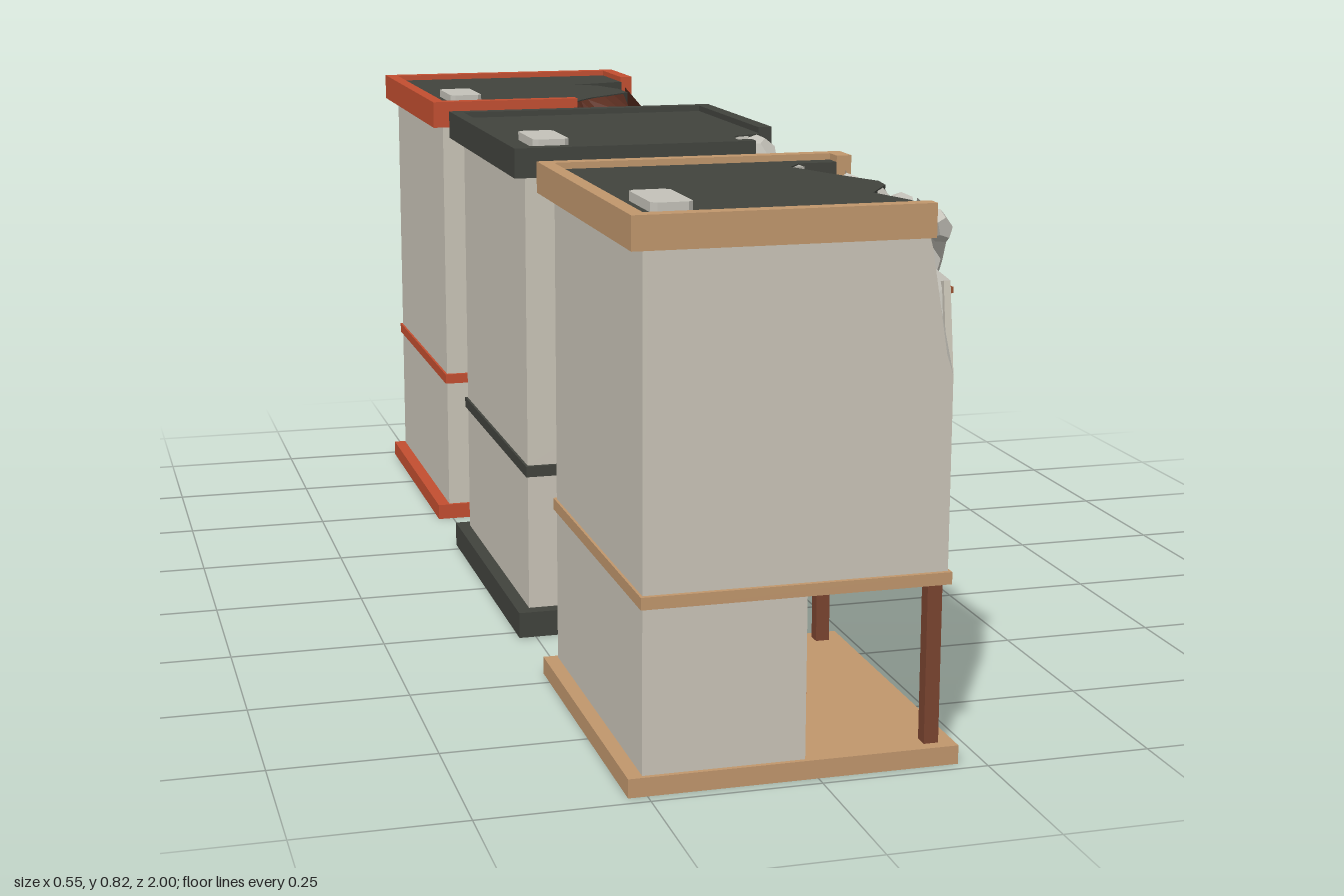
import * as THREE from 'three';

const mat = (name, color, side = THREE.FrontSide) => {
  const m = new THREE.MeshStandardMaterial({ color, side });
  m.name = name;
  return m;
};

export function createModel() {
  const M = {
    wall: mat('plaster', 0xc9c4b7), tan: mat('tanTrim', 0xc0966c), red: mat('redTrim', 0xc24e30),
    dark: mat('darkRoofing', 0x41433d), stone: mat('brokenStone', 0xc3c1b8, THREE.DoubleSide),
    frame: mat('windowWood', 0x9c5230), brown: mat('darkWood', 0x7a4430),
    gash: mat('exposedBrick', 0x5e3022, THREE.DoubleSide), glass: mat('glass', 0xa9c9cc),
  };
  let seed = 7;
  const rand = () => (seed = (seed * 16807) % 2147483647) / 2147483647;

  const add = (parent, name, geo, m) => {
    const mesh = new THREE.Mesh(geo, m);
    mesh.name = name;
    parent.add(mesh);
    return mesh;
  };
  // box given by its limits on each axis
  const box = (p, name, m, x0, x1, y0, y1, z0, z1) => {
    const g = new THREE.BoxGeometry(x1 - x0, y1 - y0, z1 - z0);
    return add(p, name, g.translate((x0 + x1) / 2, (y0 + y1) / 2, (z0 + z1) / 2), m);
  };
  const shape = pts => new THREE.Shape(pts.map(p => new THREE.Vector2(p[0], p[1])));
  const extrude = (s, depth) => new THREE.ExtrudeGeometry(s, { depth, bevelEnabled: false, curveSegments: 8 });
  // slab from an x,z outline
  const slab = (p, name, m, pts, y0, y1) =>
    add(p, name, extrude(shape(pts.map(([x, z]) => [x, -z])), y1 - y0).rotateX(-Math.PI / 2).translate(0, y0, 0), m);
  const faceted = (p, name, m, verts) => {
    const g = new THREE.BufferGeometry();
    g.setAttribute('position', new THREE.Float32BufferAttribute(verts.flat(), 3));
    g.computeVertexNormals();
    return add(p, name, g, m);
  };

  // frame shape, optionally hollow, facing +x
  const panel = (w, h, hole, depth) => {
    const s = shape([[-w / 2, 0], [w / 2, 0], [w / 2, h], [-w / 2, h]]);
    if (hole) {
      const a = w / 2 - hole;
      s.holes.push(new THREE.Path([[-a, hole], [-a, h - hole * 1.4], [-a * 0.7, h - hole], [a * 0.7, h - hole],
        [a, h - hole * 1.4], [a, hole]].map(q => new THREE.Vector2(...q))));
    }
    return extrude(s, depth).rotateY(Math.PI / 2);
  };
  const makeWindow = (parent, x, y, z) => {
    const g = new THREE.Group();
    g.name = 'window';
    g.position.set(x, y, z);
    box(g, 'glassPane', M.glass, 0, 0.004, 0.012, 0.112, -0.033, 0.033);
    add(g, 'windowFrame', panel(0.076, 0.112, 0.013, 0.013).translate(0, 0.006, 0), M.frame);
    box(g, 'mullion', M.frame, 0, 0.007, 0.012, 0.112, -0.002, 0.002);
    box(g, 'crossbar', M.frame, 0, 0.007, 0.062, 0.066, -0.03, 0.03);
    box(g, 'sill', M.frame, 0, 0.021, 0, 0.01, -0.046, 0.046);
    box(g, 'lintel', M.frame, 0, 0.021, 0.114, 0.123, -0.046, 0.046);
    parent.add(g);
  };
  const makeDoor = (parent, x, y) => {
    const g = new THREE.Group();
    g.name = 'door';
    g.position.set(x, y, 0);
    box(g, 'doorLeaf', M.brown, 0, 0.006, 0, 0.175, -0.036, 0.036);
    add(g, 'doorFrame', panel(0.092, 0.183, 0.012, 0.013), M.frame);
    add(g, 'upperDoorPanel', panel(0.05, 0.075, 0.006, 0.01).translate(0, 0.085, 0), M.frame);
    add(g, 'roundDoorPanel', new THREE.TorusGeometry(0.023, 0.004, 6, 16).rotateY(Math.PI / 2).translate(0.007, 0.045, 0), M.frame);
    parent.add(g);
  };

  // point at fraction t of a point list
  const along = (pts, t) => {
    const f = t * (pts.length - 1), i = Math.min(Math.floor(f), pts.length - 2);
    return pts[i].map((v, k) => v + (pts[i + 1][k] - v) * (f - i));
  };

  const X0 = -0.256, X1 = 0.19, Z = 0.255, T = 0.01, B = 0.288, C = 0.768;

  function makeHouse(o) {
    const g = new THREE.Group();
    g.name = o.name;
    g.position.z = o.z;
    const trim = M[o.trim], baseZ = o.porch ? 0.262 : 0.279, baseY = o.porch ? 0.028 : 0.043;
    const front = o.front, side = o.side, zb = front[0][0], corner = front[front.length - 1][1];
    const xb = side[side.length - 1][0];

    // base, ground floor and belt course
    box(g, 'base', trim, -0.278, 0.211, 0, baseY, -baseZ, baseZ);
    const gx = o.porch ? -0.018 : X1;
    box(g, 'groundFloor', M.wall, X0, gx, baseY, 0.27, -Z, Z);
    box(g, 'beltCourse', trim, -0.26, 0.194, 0.27, B, -0.262, 0.262);
    if (o.porch) for (const s of [-1, 1])
      box(g, 'porchColumn', M.brown, 0.165, 0.187, baseY, 0.27, s * 0.233 - 0.011, s * 0.233 + 0.011);

    // upper walls, cut along the broken edge
    box(g, 'backWall', M.wall, X0, X0 + T, B, C, -Z, Z);
    box(g, 'rightWall', M.wall, X0, X1, B, C, -Z, -Z + T);
    add(g, 'facade', extrude(shape([[Z, B], [-Z, B], ...[...front].reverse().map(([z, y]) => [-z, y]), [Z, C]].reverse()), T)
      .rotateY(Math.PI / 2).translate(X1 - T, 0, 0), M.wall);
    add(g, 'leftWall', extrude(shape([[X0, B], [X1, B], [X1, corner], ...side, [X0, C]]), T).translate(0, 0, Z - T), M.wall);

    // cornice with a gap, and roof with a ragged edge
    slab(g, 'cornice', trim, [[xb, 0.28], [-0.278, 0.28], [-0.278, -0.28], [0.211, -0.28], [0.211, zb],
      [0.187, zb], [0.187, -0.256], [-0.256, -0.256], [-0.256, 0.256], [xb, 0.256]], C, 0.816);
    slab(g, 'roof', M.dark, [[-0.258, 0.258], [-0.258, -0.258], [0.189, -0.258], [0.189, zb], ...o.edge], 0.78, 0.806);
    const hatch = new THREE.Shape([[-0.03, -0.055], [-0.022, -0.063], [0.022, -0.063], [0.03, -0.055],
      [0.03, 0.055], [0.022, 0.063], [-0.022, 0.063], [-0.03, 0.055]].map(q => new THREE.Vector2(...q)));
    add(g, 'roofHatch', extrude(hatch, 0.018).rotateX(-Math.PI / 2).translate(-0.2, 0.802, 0.143), M.stone);

    // broken faces between the roof edge and the wall edge
    const rim = [...front.map(([z, y]) => [X1, y, z]), ...side.map(([x, y]) => [x, y, Z])];
    const rows = rim.map((r, i) => {
      const [ex, ez] = along(o.edge, i / (rim.length - 1)), top = [ex, 0.804, ez];
      const mid = r.map((v, k) => v + (top[k] - v) * 0.45 + (rand() - 0.5) * 0.035);
      mid[1] = Math.min(mid[1], 0.8);
      return [r, mid, top];
    });
    const verts = [];
    for (let i = 0; i < rows.length - 1; i++) for (let k = 0; k < 2; k++) {
      const a = rows[i][k], b = rows[i + 1][k], c = rows[i + 1][k + 1], d = rows[i][k + 1];
      verts.push(a, b, c, a, c, d);
    }
    faceted(g, 'brokenEdge', M[o.fill], verts);

    // hanging shards: two slanted faces over a ridge, closed on top
    for (const [z0, z1, tz, ty] of o.shards) {
      const a = [0.191, 0.765, z0], b = [0.191, 0.765, z1], t = [0.193, ty, tz], r = [0.216, 0.71, (z0 + z1 + tz) / 3];
      const u = [0.17, 0.805, (z0 + z1) / 2];
      faceted(g, 'hangingShard', M[o.fill], [a, t, r, r, t, b, a, r, u, u, r, b]);
    }
    // loose chunks lodged in the break
    for (const [x, y, z, s] of o.chunks) {
      const c = add(g, 'looseChunk', new THREE.DodecahedronGeometry(s, 0), M[o.fill]);
      c.position.set(x, y, z);
      c.rotation.set(rand() * 3, rand() * 3, rand() * 3);
      c.scale.set(1, 0.7, 1.2);
    }

    // windows and door
    for (const z of [-0.15, 0, 0.15]) {
      for (const y of [0.357, 0.56]) makeWindow(g, X1, y, z);
      if (z) makeWindow(g, gx, 0.103, z);
    }
    makeDoor(g, gx, baseY);
    return g;
  }

  const model = new THREE.Group();
  model.name = 'damagedTownhouses';

  model.add(makeHouse({
    name: 'tanHouse', z: 0.72, trim: 'tan', fill: 'stone', porch: true,
    front: [[-0.225, C], [-0.225, 0.3], [-0.2, 0.55], [-0.165, 0.73], [-0.1, 0.71], [-0.075, 0.62], [-0.05, 0.7],
      [0.02, 0.71], [0.075, 0.66], [0.13, 0.705], [0.19, 0.69], [0.235, 0.7], [Z, 0.57]],
    side: [[0.18, 0.6], [0.155, 0.75], [0.15, C]],
    edge: [[0.125, -0.225], [0.1, -0.19], [0.135, -0.1], [0.175, -0.01], [0.17, 0.03], [0.125, 0.1], [0.15, 0.18], [0.15, 0.256]],
    shards: [[0.06, -0.08, -0.028, 0.39], [0.22, 0.09, 0.11, 0.59], [-0.1, -0.18, -0.12, 0.68]],
    chunks: [[0.175, 0.775, 0.22, 0.026], [0.17, 0.78, 0.08, 0.024], [0.175, 0.775, -0.12, 0.026]],
  }));

  const middle = makeHouse({
    name: 'darkHouse', z: 0, trim: 'dark', fill: 'stone', porch: false,
    front: [[0.1, C], [0.14, 0.7], [0.195, 0.68], [0.2, 0.52], [0.235, 0.5], [Z, 0.54]],
    side: [[0.15, 0.6], [0.1, 0.57], [0.08, 0.69], [0.125, C]],
    edge: [[0.185, 0.11], [0.135, 0.13], [0.125, 0.17], [0.13, 0.2], [0.12, 0.256]],
    shards: [],
    chunks: [[0.18, 0.78, 0.14, 0.032], [0.175, 0.74, 0.215, 0.04], [0.14, 0.69, 0.23, 0.036], [0.17, 0.62, 0.225, 0.036]],
  });
  // entrance steps
  [[0.275, 0.018, 0.104], [0.25, 0.034, 0.078], [0.226, 0.05, 0.054]].forEach(([x, y, z], i) =>
    box(middle, 'entranceStep', M.frame, 0.19, x, i * 0.016, y, -z, z));
  model.add(middle);

  model.add(makeHouse({
    name: 'redHouse', z: -0.72, trim: 'red', fill: 'gash', porch: true,
    front: [[-0.11, C], [-0.07, 0.706], [-0.055, 0.6], [-0.095, 0.295], [0.05, 0.69], [0.075, 0.64], [0.113, 0.69],
      [0.167, 0.7], [0.23, 0.706], [Z, 0.73]],
    side: [[0.15, 0.71], [0.1, 0.63], [0.05, 0.74], [0, C]],
    edge: [[0.08, -0.075], [0.12, -0.05], [0.146, 0.03], [0.146, 0.1], [0.1, 0.14], [0.055, 0.176], [0.02, 0.22], [0, 0.256]],
    shards: [[0.07, -0.09, -0.06, 0.45]],
    chunks: [],
  }));
  return model;
}
